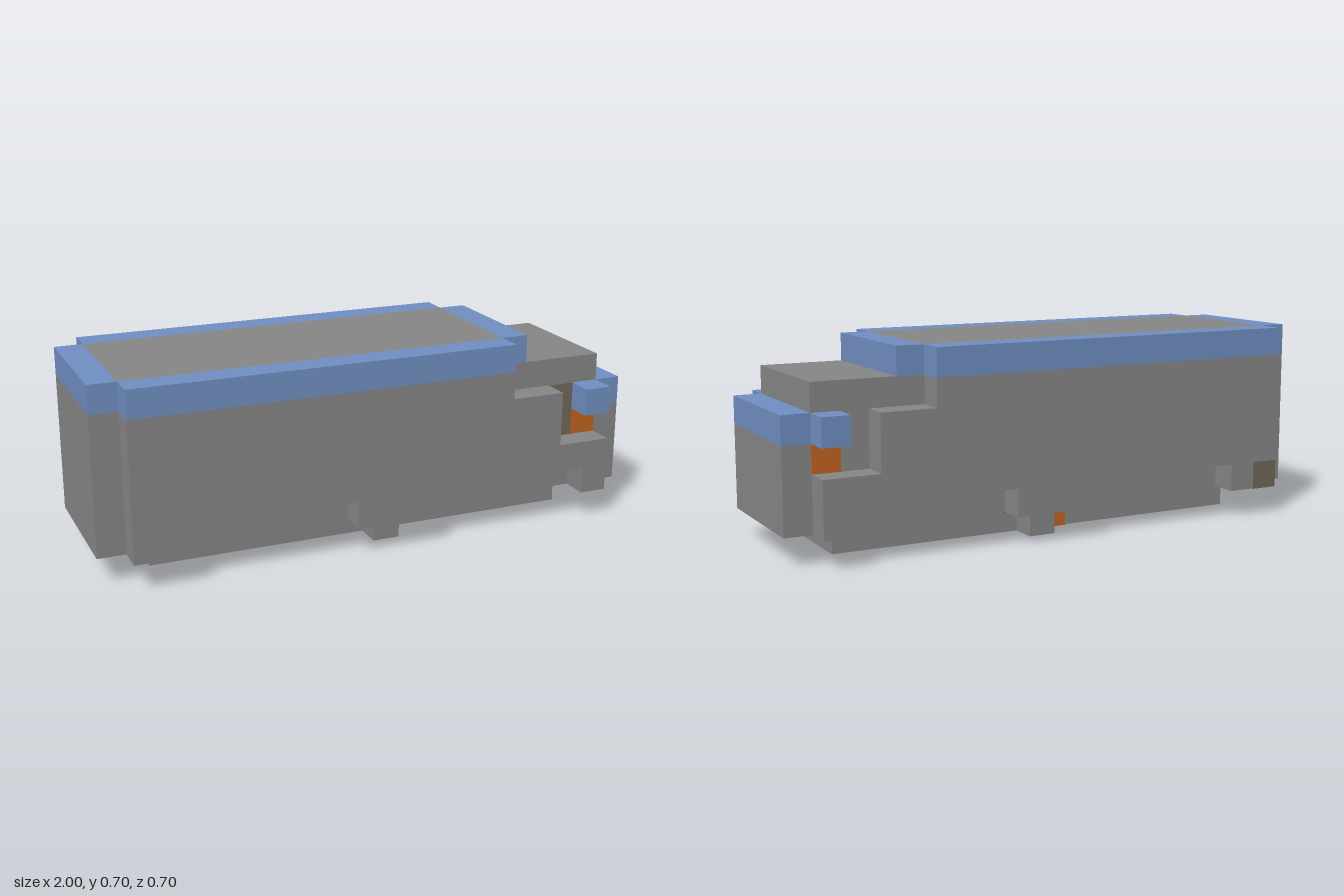
import * as THREE from 'three';

const mat = (name, color) => {
  const m = new THREE.MeshStandardMaterial({ color });
  m.name = name;
  return m;
};

export function createModel() {
  const grey = mat('bodyGrey', 0x868686);
  const blue = mat('trimBlue', 0x708ec2);
  const orange = mat('lampOrange', 0xc06420);
  const khaki = mat('rustKhaki', 0x706858);
  const dark = mat('darkGrey', 0x4a4a48);

  const model = new THREE.Group();
  model.name = 'locomotive';

  const add = (name, geometry, material) => {
    const mesh = new THREE.Mesh(geometry, material);
    mesh.name = name;
    model.add(mesh);
    return mesh;
  };
  // Box given by its lower and upper limits on each axis
  const box = (name, material, [x0, x1], [y0, y1], [z0, z1]) =>
    add(name, new THREE.BoxGeometry(x1 - x0, y1 - y0, z1 - z0), material)
      .position.set((x0 + x1) / 2, (y0 + y1) / 2, (z0 + z1) / 2);
  // Outline in x and y, extruded along z
  const slab = (name, points, z0, depth) => {
    const shape = new THREE.Shape(points.map(([x, y]) => new THREE.Vector2(x, y)));
    const geometry = new THREE.ExtrudeGeometry(shape, { depth, bevelEnabled: false });
    add(name, geometry.translate(0, 0, z0), grey);
  };

  // Central hull with raised roof and stepped nose
  slab('hull', [
    [-1, 0.1], [1, 0.1], [1, 0.4], [0.9, 0.4], [0.9, 0.6], [0.5, 0.6],
    [0.5, 0.7], [-0.9, 0.7], [-0.9, 0.6], [-1, 0.6],
  ], -0.25, 0.5);
  box('rearTrim', blue, [-1, -0.9], [0.6, 0.7], [-0.25, 0.25]);
  box('cabTrim', blue, [0.5, 0.6], [0.6, 0.7], [-0.25, 0.25]);
  box('noseTrim', blue, [0.9, 1], [0.4, 0.5], [-0.25, 0.25]);

  // Underframe beam
  box('underframe', grey, [-0.8, 0.8], [0, 0.1], [-0.15, 0.15]);

  // Mirrored side panels, notched above the wheels
  const panel = [
    [-0.9, 0.1], [-0.7, 0.1], [-0.7, 0.2], [-0.1, 0.2], [-0.1, 0.1],
    [0.2, 0.1], [0.2, 0.2], [0.8, 0.2], [0.8, 0.1], [0.9, 0.1],
    [0.9, 0.3], [0.7, 0.3], [0.7, 0.5], [0.5, 0.5], [0.5, 0.6], [-0.9, 0.6],
  ];
  for (const s of [1, -1]) {
    const side = s > 0 ? 'front' : 'back';
    const span = (a, b) => (s > 0 ? [a, b] : [-b, -a]);
    slab(side + 'Panel', panel, s > 0 ? 0.25 : -0.35, 0.1);
    box(side + 'RoofTrim', blue, [-0.9, 0.5], [0.6, 0.7], span(0.25, 0.35));
    box(side + 'Mirror', blue, [0.8, 0.9], [0.4, 0.5], span(0.25, 0.35));
    box(side + 'Lamp', orange, [0.8, 0.9], [0.3, 0.4], span(0.249, 0.253));
    box(side + 'UnderBlock', grey, [0, 0.1], [0, 0.1], span(0.15, 0.25));
  }

  // Painted patches
  box('cabPatch', khaki, [0.7, 0.8], [0.3, 0.5], [0.249, 0.253]);
  box('cornerPatch', khaki, [-0.902, -0.8], [0.098, 0.2], [-0.352, -0.25]);
  box('underLamp', orange, [-0.1, 0], [-0.002, 0.1], [-0.152, -0.05]);
  for (const x of [-0.9, -0.1, 0.1]) {
    box('underPatch', dark, [x, x + 0.1], [0.097, 0.101], [-0.25, -0.15]);
  }

  return model;
}
